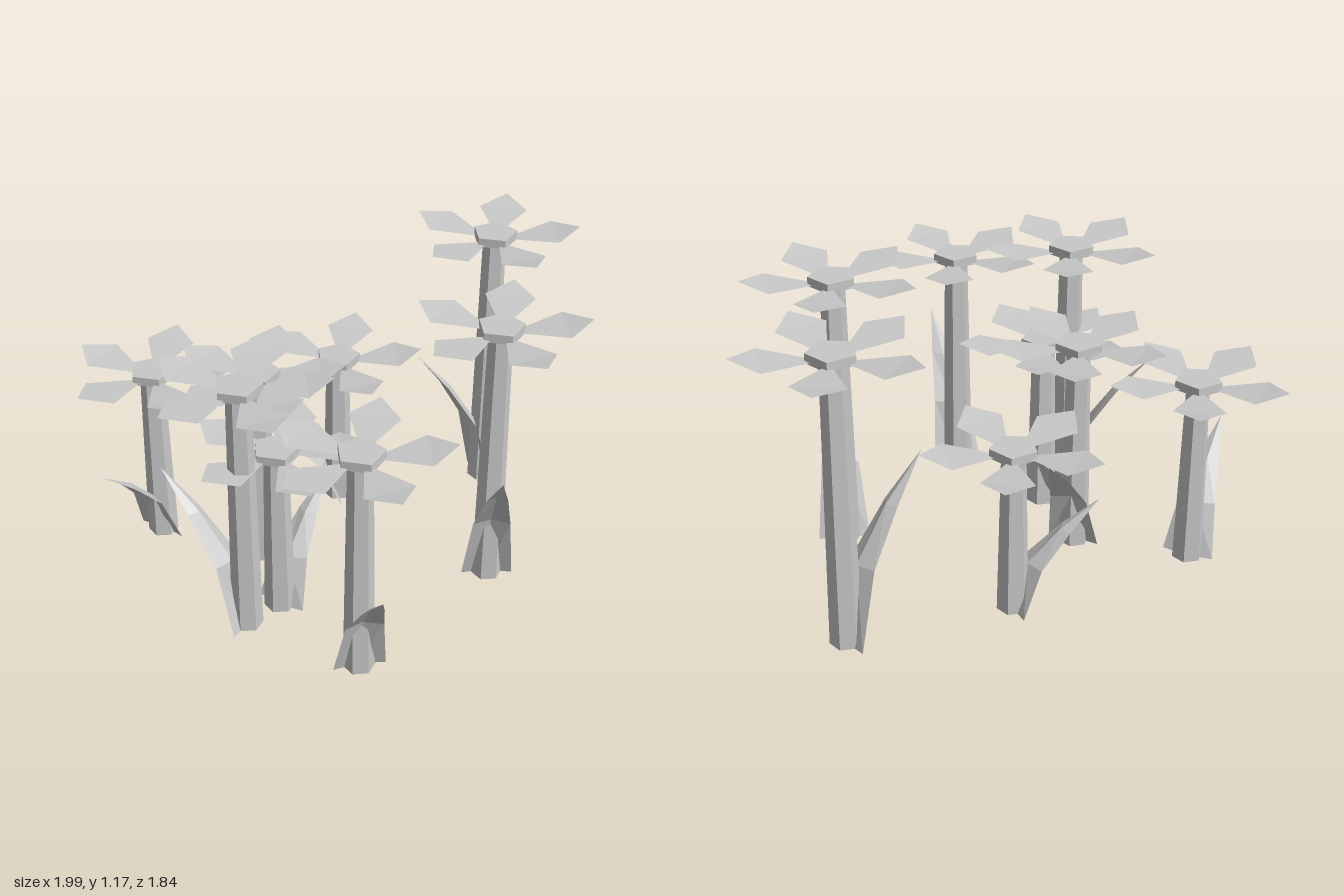
import * as THREE from 'three';

const grey = new THREE.MeshStandardMaterial({ color: 0xc8c8c8, flatShading: true, side: THREE.DoubleSide });
grey.name = 'plain grey';

// x, z, height, leaf direction (dx, dz)
const FLOWERS = [
  [-0.72, -0.33, 0.77, -0.205, 0.265],
  [0.02, -0.52, 0.68, -0.33, 0.04],
  [0.65, -0.60, 1.16, -0.31, 0.13],
  [-0.32, -0.125, 0.865, 0.18, -0.28],
  [0.56, 0.075, 1.13, -0.025, 0.335],
  [-0.40, 0.30, 1.075, -0.29, -0.16],
  [0.0, 0.58, 0.96, 0.045, 0.33],
  [-0.27, 0.20, 0.735, 0.20, -0.26],
];

function part(geometry, name) {
  const mesh = new THREE.Mesh(geometry, grey);
  mesh.name = name;
  return mesh;
}

// Strip of cross-sections, each an array of three points [left, middle, right]
function strip(rows) {
  const positions = rows.flat(2);
  const index = [];
  for (let r = 0; r < rows.length - 1; r++) {
    for (let c = 0; c < 2; c++) {
      const a = r * 3 + c, b = a + 1, d = a + 3, e = a + 4;
      index.push(a, b, e, a, e, d);
    }
  }
  const g = new THREE.BufferGeometry();
  g.setAttribute('position', new THREE.Float32BufferAttribute(positions, 3));
  g.setIndex(index);
  g.computeVertexNormals();
  return g;
}

// Petal along +x, rising gently towards its pointed tip: [radius, half width, y]
function petalGeometry() {
  const rows = [[0.06, 0.012, -0.03], [0.24, 0.095, -0.012], [0.34, 0, 0.006]];
  return strip(rows.map(([r, w, y]) => [[r, y, w], [r, y, 0], [r, y, -w]]));
}

// Bent, slightly folded blade leaning towards +z: [reach, height share, half width, fold]
function leafGeometry(height) {
  const rows = [[0, 0, 0.1, 0.008], [0.07, 0.45, 0.072, 0.015], [0.195, 0.75, 0.04, 0.012], [0.335, 1, 0, 0]];
  return strip(rows.map(([z, t, w, f]) => {
    const y = t * height;
    return [[-w, y, z + f], [0, y, z - f], [w, y, z + f]];
  }));
}

function createFlower(x, z, height, dx, dz) {
  const flower = new THREE.Group();
  flower.name = 'flower';
  flower.position.set(x, 0, z);

  // Tapered six-sided stem
  const stemHeight = height - 0.03;
  const stem = part(new THREE.CylinderGeometry(0.046, 0.06, stemHeight, 6), 'stem');
  stem.rotation.y = Math.PI / 6;
  stem.position.y = stemHeight / 2;
  flower.add(stem);

  // Five-sided flower centre
  const centre = part(new THREE.CylinderGeometry(0.09, 0.09, 0.036, 5), 'flowerCentre');
  centre.rotation.y = Math.PI / 2;
  centre.position.y = height - 0.018;
  flower.add(centre);

  // Ring of petals
  const petals = petalGeometry();
  for (let i = 0; i < 5; i++) {
    const petal = part(petals, 'petal');
    petal.position.y = height;
    petal.rotation.y = (i * Math.PI * 2) / 5;
    flower.add(petal);
  }

  // One leaf at the foot
  const leaf = part(leafGeometry(height * 0.585), 'leaf');
  leaf.rotation.y = Math.atan2(dx, dz);
  flower.add(leaf);
  return flower;
}

export function createModel() {
  const model = new THREE.Group();
  model.name = 'flowerPatch';
  for (const f of FLOWERS) model.add(createFlower(...f));
  return model;
}
